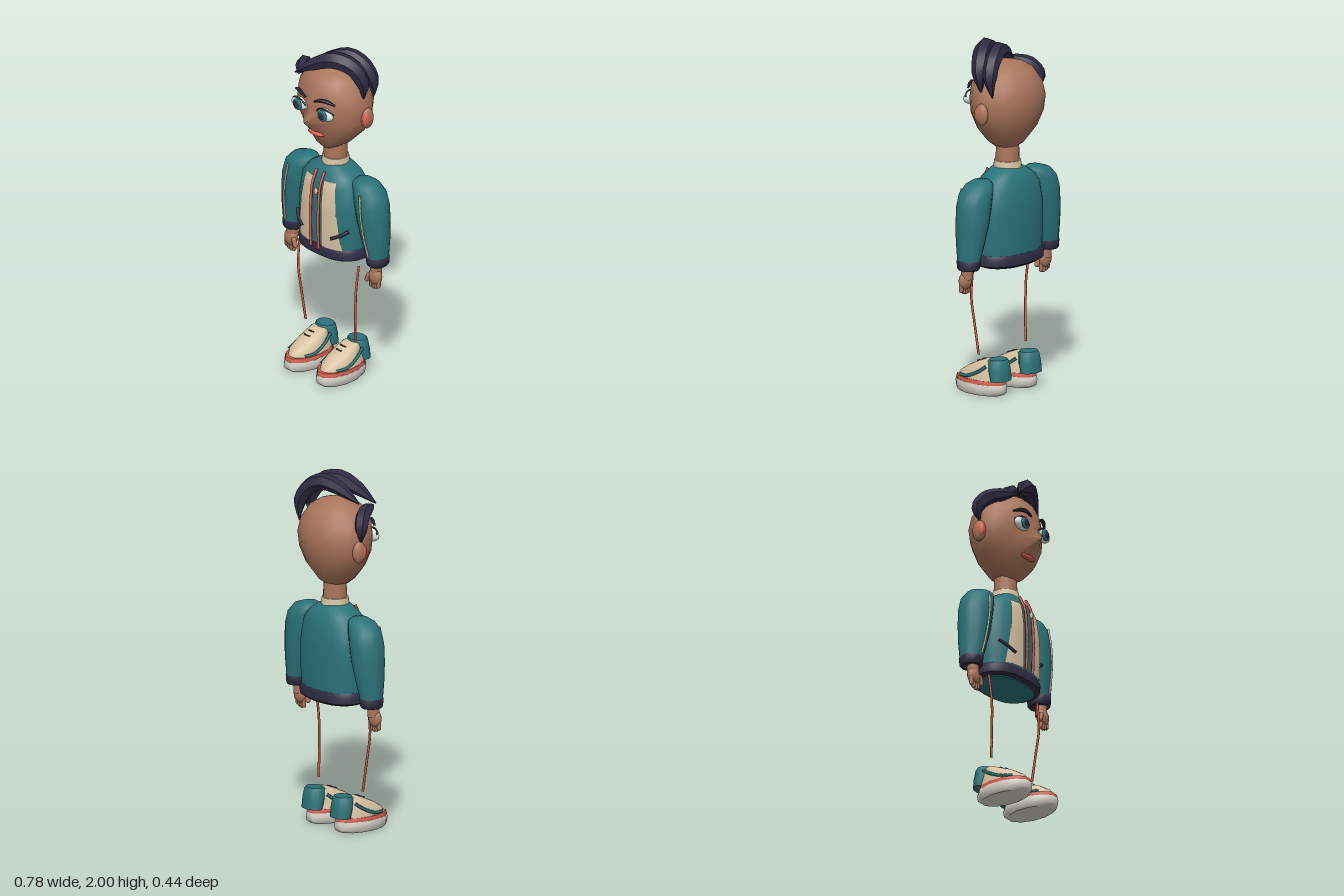
import * as THREE from 'three';
import { toCreasedNormals } from 'three/addons/utils/BufferGeometryUtils.js';

const paint = (name, color) => Object.assign(new THREE.MeshStandardMaterial({ color }), { name });
const skin = paint('skin', 0xaa755b);
const teal = paint('teal', 0x2a737a);
const navy = paint('navy', 0x2e2c43);
const beige = paint('beige', 0xd8c3a2);
beige.side = THREE.DoubleSide;
const coral = paint('coral', 0xd86050);
const rubber = paint('rubber', 0xd9d7cc);
const eyeWhite = paint('eyeWhite', 0xdde8e5);

const V = (p) => new THREE.Vector3(...p);

function add(parent, name, geometry, material, pos = [0, 0, 0], scale = [1, 1, 1]) {
  const mesh = new THREE.Mesh(geometry, material);
  mesh.name = name;
  mesh.position.set(...pos);
  mesh.scale.set(...scale);
  parent.add(mesh);
  return mesh;
}

function group(parent, name) {
  const g = new THREE.Group();
  g.name = name;
  parent.add(g);
  return g;
}

// Closed body through horizontal rings [y, centreX, halfWidth, frontZ, backZ]
function loft(rings, { seg = 16, turn = 0, n = 2, cz = null, crease = 0.9, edit = null } = {}) {
  const pos = [], idx = [];
  const bend = (v) => Math.sign(v) * Math.abs(v) ** (2 / n);
  rings.forEach(([y, cx, rx, zf, zb], j) => {
    const mid = cz === null ? (zf + zb) / 2 : cz;
    for (let i = 0; i < seg; i++) {
      const a = ((i + turn) / seg) * Math.PI * 2;
      const c = bend(Math.cos(a));
      const p = [cx + rx * bend(Math.sin(a)), y, mid + c * (c > 0 ? zf - mid : mid - zb)];
      if (edit) edit(p, i, j);
      pos.push(...p);
      const k = (i + 1) % seg, lo = j * seg, hi = lo + seg;
      if (j < rings.length - 1) idx.push(lo + i, lo + k, hi + k, lo + i, hi + k, hi + i);
    }
  });
  const last = (rings.length - 1) * seg, base = pos.length / 3;
  for (const [y, cx, , zf, zb] of [rings[0], rings[rings.length - 1]]) pos.push(cx, y, (zf + zb) / 2);
  for (let i = 0; i < seg; i++) {
    const k = (i + 1) % seg;
    idx.push(base, k, i, base + 1, last + i, last + k);
  }
  const g = new THREE.BufferGeometry();
  g.setAttribute('position', new THREE.Float32BufferAttribute(pos, 3));
  g.setIndex(idx);
  return toCreasedNormals(g, crease);
}

// Tube through points; the optional widths scale its radius along the way
function strand(points, radius, widths = null, steps = 14, sides = 6) {
  const curve = new THREE.CatmullRomCurve3(points.map(V));
  const g = new THREE.TubeGeometry(curve, steps, radius, sides);
  if (!widths) return g;
  const p = g.attributes.position, v = new THREE.Vector3();
  for (let i = 0; i < p.count; i++) {
    const t = Math.floor(i / (sides + 1)) / steps;
    const f = t * (widths.length - 1), k = Math.min(Math.floor(f), widths.length - 2);
    const c = curve.getPointAt(t);
    v.fromBufferAttribute(p, i).sub(c).multiplyScalar(THREE.MathUtils.lerp(widths[k], widths[k + 1], f - k)).add(c);
    p.setXYZ(i, v.x, v.y, v.z);
  }
  return toCreasedNormals(g, 0.7);
}

const ball = (w = 16, h = 12) => new THREE.SphereGeometry(1, w, h);

// Jacket body: [y, halfWidth, halfDepth] around z = -0.03
const BODY = [[0.77, 0.215, 0.14], [0.9, 0.226, 0.145], [1.05, 0.226, 0.145], [1.17, 0.205, 0.132],
  [1.225, 0.165, 0.112], [1.265, 0.1, 0.085], [1.28, 0.07, 0.07]];
const POWER = 2.4;

// Point on the jacket front, lifted off the cloth
function onFront(x, y, lift) {
  let k = 0;
  while (k < BODY.length - 2 && y > BODY[k + 1][0]) k++;
  const t = (y - BODY[k][0]) / (BODY[k + 1][0] - BODY[k][0]);
  const rx = THREE.MathUtils.lerp(BODY[k][1], BODY[k + 1][1], t);
  const rz = THREE.MathUtils.lerp(BODY[k][2], BODY[k + 1][2], t);
  return [x, y, -0.03 + rz * Math.max(0, 1 - (Math.abs(x) / rx) ** POWER) ** (1 / POWER) + lift];
}

function buildHead(root) {
  const head = group(root, 'head');
  const rings = [[1.38, 0, 0.045, 0.06, -0.07], [1.415, 0, 0.1, 0.09, -0.12], [1.5, 0, 0.185, 0.125, -0.175],
    [1.585, 0, 0.228, 0.15, -0.205], [1.67, 0, 0.235, 0.158, -0.218], [1.75, 0, 0.218, 0.155, -0.2],
    [1.82, 0, 0.165, 0.125, -0.16], [1.86, 0, 0.095, 0.08, -0.1], [1.88, 0, 0.02, 0.0, -0.03]];
  // The front point of one ring is drawn out into the nose
  const nose = (p, i, j) => { if (i === 0 && j === 3) p[2] = 0.216; };
  add(head, 'skull', loft(rings, { cz: -0.03, crease: 1.1, edit: nose }), skin);
  add(head, 'neck', new THREE.CylinderGeometry(0.062, 0.07, 0.19, 16), skin, [0, 1.335, -0.03]);
  add(head, 'mouth', ball(10, 6), coral, [0, 1.492, 0.12], [0.062, 0.014, 0.022]);
  for (const s of [1, -1]) {
    add(head, 'ear', ball(), skin, [s * 0.232, 1.61, -0.045], [0.028, 0.062, 0.042]);
    add(head, 'innerEar', ball(), coral, [s * 0.243, 1.61, -0.03], [0.017, 0.043, 0.027]);
    add(head, 'eyeball', ball(), eyeWhite, [s * 0.1, 1.652, 0.148], [0.06, 0.037, 0.025]);
    add(head, 'iris', ball(), teal, [s * 0.098, 1.652, 0.17], [0.033, 0.034, 0.011]);
    add(head, 'pupil', ball(), navy, [s * 0.098, 1.652, 0.177], [0.019, 0.021, 0.008]);
    add(head, 'eyelid', strand([[s * 0.042, 1.66, 0.158], [s * 0.075, 1.685, 0.163], [s * 0.12, 1.687, 0.158],
      [s * 0.16, 1.662, 0.14]], 0.005), navy);
    add(head, 'eyebrow', strand([[s * 0.033, 1.715, 0.168], [s * 0.075, 1.733, 0.163], [s * 0.11, 1.733, 0.148],
      [s * 0.155, 1.715, 0.125]], 0.011, [0.5, 1, 1, 0.4]), navy);
  }
}

function buildHair(root) {
  const hair = group(root, 'hair');
  add(hair, 'frontLock', strand([[-0.13, 1.835, 0.155], [-0.03, 1.905, 0.11], [0.08, 1.95, 0.06], [0.175, 1.92, 0.01],
    [0.225, 1.83, -0.02], [0.215, 1.72, -0.03]], 0.05, [0.08, 0.75, 1, 1, 0.85, 0.04]), navy);
  add(hair, 'crownLock', strand([[-0.125, 1.85, 0.04], [0, 1.92, 0], [0.1, 1.945, -0.045], [0.19, 1.89, -0.08],
    [0.225, 1.8, -0.1], [0.215, 1.71, -0.11]], 0.047, [0.08, 0.75, 1, 1, 0.85, 0.04]), navy);
  add(hair, 'sideLock', strand([[-0.235, 1.66, -0.035], [-0.25, 1.74, -0.045], [-0.215, 1.805, -0.005],
    [-0.165, 1.825, 0.07], [-0.12, 1.825, 0.145]], 0.042, [0.04, 0.9, 1, 0.85, 0.08]), navy);
}

function buildJacket(root) {
  const jacket = group(root, 'jacket');
  add(jacket, 'jacketBody', loft(BODY.map(([y, rx, rz]) => [y, 0, rx, -0.03 + rz, -0.03 - rz]),
    { seg: 32, n: POWER }), teal);
  const hem = [[0.735, 0.205, 0.135], [0.745, 0.226, 0.15], [0.785, 0.23, 0.152], [0.805, 0.218, 0.142]];
  add(jacket, 'hem', loft(hem.map(([y, rx, rz]) => [y, 0, rx, -0.03 + rz, -0.03 - rz]), { seg: 32, n: POWER }), navy);
  add(jacket, 'lining', loft([[0.728, 0, 0.19, 0.095, -0.155], [0.75, 0, 0.2, 0.105, -0.165]], { seg: 32, n: POWER }), teal);
  add(jacket, 'collar', new THREE.CylinderGeometry(0.074, 0.083, 0.065, 20), beige, [0, 1.278, -0.03]);
  add(jacket, 'zipPull', ball(8, 6), beige, [0.012, 1.14, 0.135], [0.011, 0.022, 0.012]);
  for (const s of [1, -1]) {
    // Chest panel follows the jacket surface
    const panel = new THREE.PlaneGeometry(1, 1, 8, 16), p = panel.attributes.position;
    for (let i = 0; i < p.count; i++) {
      const v = p.getY(i) + 0.5, u = s * p.getX(i) + 0.5;
      const x = THREE.MathUtils.lerp(0.038, THREE.MathUtils.lerp(0.165, 0.115, v), u);
      p.setXYZ(i, ...onFront(s * x, 0.805 + 0.4 * v, 0.008));
    }
    panel.computeVertexNormals();
    add(jacket, 'chestPanel', panel, beige);
    const trim = [0.79, 0.9, 1.0, 1.1, 1.18, 1.25].map((y) => onFront(s * 0.03, y, 0.021));
    add(jacket, 'frontTrim', strand(trim, 0.008), coral);
    const slit = [[0.2, 0.933], [0.165, 0.905], [0.11, 0.875]].map(([x, y]) => onFront(s * x, y, 0.014));
    add(jacket, 'pocket', strand(slit, 0.01), navy);
  }
}

function buildArm(root, s) {
  const arm = group(root, s > 0 ? 'leftArm' : 'rightArm');
  const ring = (y, cx, rx, rz) => [y, s * cx, rx, -0.033 + rz, -0.033 - rz];
  add(arm, 'sleeve', loft([ring(0.79, 0.325, 0.06, 0.066), ring(0.9, 0.31, 0.079, 0.083), ring(1.0, 0.295, 0.093, 0.094),
    ring(1.1, 0.282, 0.1, 0.096), ring(1.17, 0.265, 0.098, 0.09), ring(1.215, 0.24, 0.082, 0.072),
    ring(1.235, 0.222, 0.045, 0.045)], { seg: 16 }), teal);
  add(arm, 'cuff', loft([ring(0.745, 0.327, 0.053, 0.058), ring(0.755, 0.327, 0.06, 0.066),
    ring(0.795, 0.325, 0.064, 0.07), ring(0.808, 0.324, 0.058, 0.062)]), navy);
  add(arm, 'sleevePiping', strand([[0.28, 1.18, 0.06], [0.292, 1.09, 0.07], [0.305, 0.99, 0.068], [0.315, 0.9, 0.057],
    [0.325, 0.81, 0.039]].map(([x, y, z]) => [s * x, y, z]), 0.006), beige);
  add(arm, 'wrist', new THREE.CylinderGeometry(0.032, 0.034, 0.08, 12), skin, [s * 0.327, 0.73, -0.02]);
  add(arm, 'palm', ball(), skin, [s * 0.33, 0.68, -0.012], [0.045, 0.05, 0.03]);
  for (let i = 0; i < 4; i++) {
    add(arm, 'finger', new THREE.CapsuleGeometry(0.012, 0.04, 4, 8), skin,
      [s * (0.302 + i * 0.019), 0.637 + (i === 3 ? 0.01 : 0) - (i === 1 ? 0.005 : 0), -0.008]);
  }
  const thumb = add(arm, 'thumb', new THREE.CapsuleGeometry(0.014, 0.035, 4, 8), skin, [s * 0.287, 0.665, 0.004]);
  thumb.rotation.z = -s * 0.35;
}

function buildLeg(root, s) {
  const leg = group(root, s > 0 ? 'leftLeg' : 'rightLeg');
  const cx = s * 0.125;
  add(leg, 'sideStripe', strand([[s * 0.232, 0.72, 0.02], [s * 0.226, 0.56, 0.036], [s * 0.21, 0.4, 0.025],
    [s * 0.194, 0.23, 0.01]], 0.007), coral);
  const shoe = group(leg, 'shoe');
  const oval = { seg: 12, turn: 0.5 };
  const sole = (y, k) => [y, cx, 0.097 * k, 0.052 + 0.174 * k, 0.052 - 0.174 * k];
  add(shoe, 'sole', loft([sole(0, 0.86), sole(0.015, 0.97), sole(0.045, 1), sole(0.063, 0.97)], oval), rubber);
  add(shoe, 'soleBand', loft([sole(0.06, 0.96), sole(0.068, 0.97), sole(0.085, 0.93)], oval), coral);
  add(shoe, 'upper', loft([[0.08, cx, 0.086, 0.195, -0.11], [0.11, cx, 0.081, 0.186, -0.1], [0.145, cx, 0.071, 0.13, -0.09],
    [0.175, cx, 0.059, 0.065, -0.08], [0.196, cx, 0.045, 0.012, -0.07]], { seg: 16 }), beige);
  add(shoe, 'heelCup', loft([[0.088, cx, 0.072, -0.045, -0.14], [0.14, cx, 0.071, -0.028, -0.137],
    [0.195, cx, 0.062, -0.022, -0.128], [0.206, cx, 0.055, -0.028, -0.12]], { seg: 16 }), teal);
  for (const e of [1, -1]) {
    add(shoe, 'sideBand', strand([[0.062, 0.093, 0.15], [0.083, 0.1, 0.085], [0.08, 0.132, 0.01], [0.068, 0.17, -0.045]]
      .map(([x, y, z]) => [cx + e * x, y, z]), 0.009), teal);
  }
  for (const [y, z] of [[0.188, 0.036], [0.174, 0.07]]) {
    add(shoe, 'lace', strand([[cx - 0.022, y, z - 0.004], [cx, y + 0.001, z], [cx + 0.022, y, z - 0.004]], 0.004), navy);
  }
}

export function createModel() {
  const root = new THREE.Group();
  root.name = 'character';
  buildHead(root);
  buildHair(root);
  buildJacket(root);
  for (const s of [1, -1]) {
    buildArm(root, s);
    buildLeg(root, s);
  }
  return root;
}
